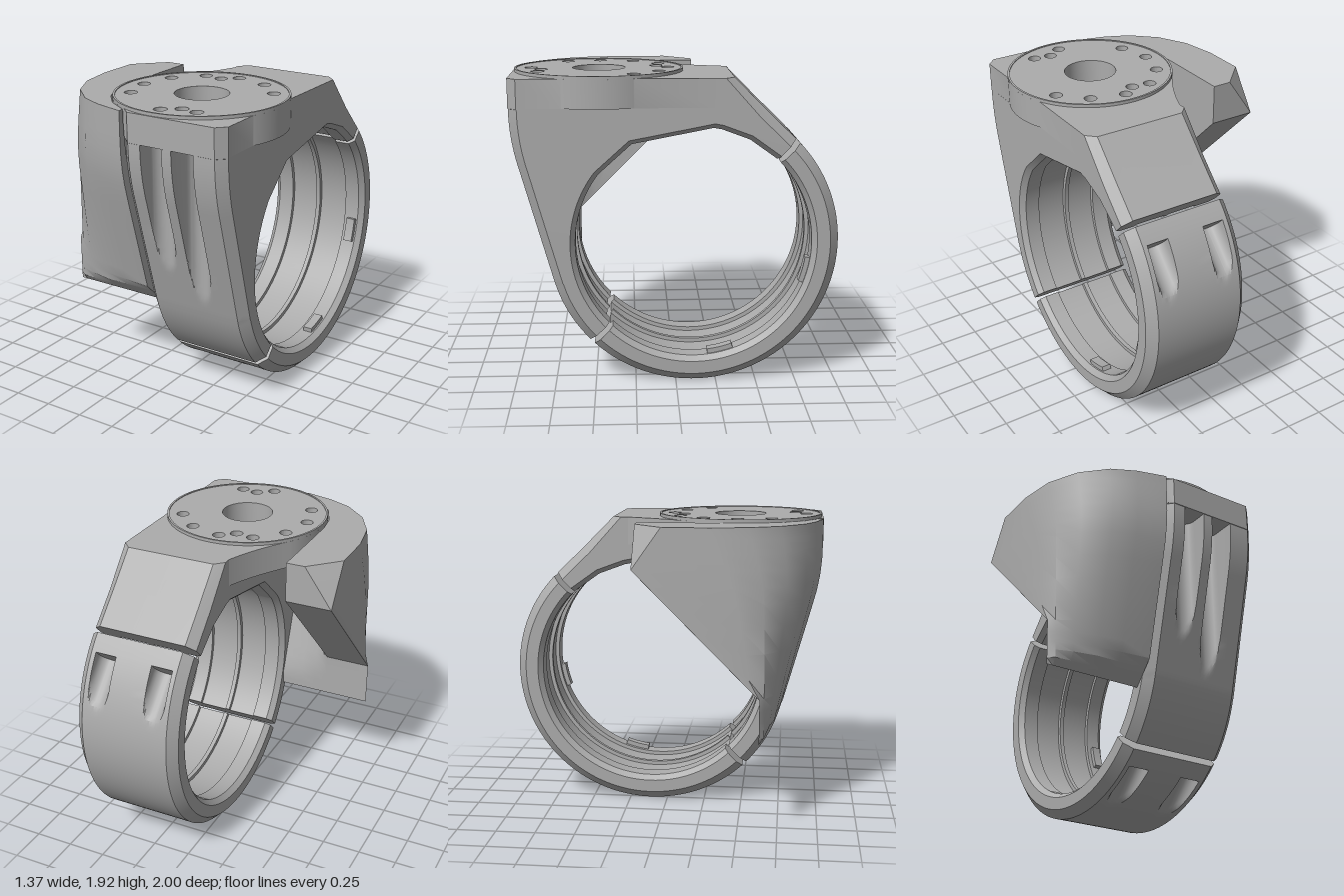
import * as THREE from 'three';
import { toCreasedNormals } from 'three/addons/utils/BufferGeometryUtils.js';

const CZ = -0.11, CY = 0.89, R = 0.89;      // clamp ring centre and outer radius
const X0 = -0.06, X1 = 0.635;               // clamp width
const EPS = 0.0008;
const mix = (a, b, t) => a + (b - a) * t;
const rad = THREE.MathUtils.degToRad;

// Skin a row of sections; each has matching outer and inner point lists
function loft(sections) {
  const pos = [];
  const quad = (a, b, c, d) => { for (const p of [a, b, c, a, c, d]) pos.push(...p); };
  const loops = sections.map(s => [...s.outer, ...s.inner.slice().reverse()]);
  for (let k = 0; k < loops.length - 1; k++) {
    const A = loops[k], B = loops[k + 1], n = A.length;
    for (let i = 0; i < n; i++) { const j = (i + 1) % n; quad(A[i], B[i], B[j], A[j]); }
  }
  const s = sections[0], e = sections[sections.length - 1];
  for (let i = 0; i < s.outer.length - 1; i++) {
    quad(s.outer[i], s.outer[i + 1], s.inner[i + 1], s.inner[i]);
    quad(e.outer[i + 1], e.outer[i], e.inner[i], e.inner[i + 1]);
  }
  const g = new THREE.BufferGeometry();
  g.setAttribute('position', new THREE.Float32BufferAttribute(pos, 3));
  g.computeVertexNormals();
  return toCreasedNormals(g, 0.5);
}

// Stepped bore: x position and radius
const bore = [[-0.06, 0.755], [-0.025, 0.725], [0.08, 0.725], [0.081, 0.75], [0.27, 0.75], [0.271, 0.725],
  [0.3, 0.725], [0.301, 0.75], [0.5, 0.75], [0.501, 0.725], [0.6, 0.725], [0.635, 0.755]];
function boreRadius(x) {
  for (let i = 1; i < bore.length; i++) {
    const [a, ra] = bore[i - 1], [b, rb] = bore[i];
    if (x <= b) return mix(ra, rb, (x - a) / (b - a));
  }
  return 0.755;
}

// Sloping front of the body: z at height y
function frontZ(y) {
  if (y < 1.38) return 0.748 + (y - 0.652) * 0.277;
  const t = Math.min(y - 1.38, 0.34);
  return 0.95 + 0.277 * t - 0.277 * t * t / 0.68;
}

// Outline points: z, y, then the direction in which the side chamfer insets
const arcPoint = deg => {
  const c = Math.cos(rad(deg)), s = Math.sin(rad(deg));
  return [CZ + R * c, CY + R * s, c, s];
};
function upperOutline() {
  const pts = [];
  for (let a = -43.8; a < -16; a += 2.3) pts.push(arcPoint(a));
  for (let i = 0; i <= 32; i++) { const y = mix(0.652, 1.7235, i / 32); pts.push([frontZ(y), y, 1, 0]); }
  pts.push([1, 1.725, 1, 0], [1, 1.73, 1, 0], [0.4, 1.73, 0, 0], [-0.25, 1.73, 0, 0],
    [-0.25, 1.905, 0, 0], [-0.35, 1.905, -1, 0], [-0.54, 1.713, -0.7, 0.7], arcPoint(133.8));
  return pts;
}
function lowerOutline() {
  const angles = [144, 144.1, 305.9, 306];
  for (let a = 136.2; a <= 313.9; a += 2.4) angles.push(a);
  angles.push(313.8);
  return angles.sort((a, b) => a - b).map(arcPoint);
}

// Round channels: centre x, radius and depth
const flutes = [{ x: 0.152, r: 0.073, floor: 0.82 }, { x: 0.365, r: 0.073, floor: 0.77 }];
const pockets = [{ x: 0.095, r: 0.07, floor: 0.765 }, { x: 0.48, r: 0.07, floor: 0.765 }];
const channelFloor = (list, x) => {
  const c = list.find(f => Math.abs(x - f.x) < f.r + EPS / 2);
  return c ? c.floor + c.r - Math.sqrt(Math.max(0, c.r * c.r - (x - c.x) ** 2)) : Infinity;
};

function clampHalf(outline, channels, carve) {
  const xs = [...bore.map(b => b[0]), X0 + 0.055, X1 - 0.055];
  for (const c of channels) {
    xs.push(c.x - c.r - EPS, c.x + c.r + EPS);
    for (let i = 0; i <= 10; i++) xs.push(c.x - c.r * Math.cos(Math.PI * i / 10));
  }
  xs.sort((a, b) => a - b);
  return loft(xs.map(x => {
    const inset = Math.max(0, 0.055 - Math.min(x - X0, X1 - x));
    const floor = channelFloor(channels, x), r = boreRadius(x);
    const outer = [], inner = [];
    for (const [z, y, nz, ny] of outline) {
      const [oz, oy] = carve(z - nz * inset, y - ny * inset, floor);
      outer.push([x, oy, oz]);
      const a = Math.atan2(y - CY, z - CZ);
      inner.push([x, CY + r * Math.sin(a), CZ + r * Math.cos(a)]);
    }
    return { outer, inner };
  }));
}
const carveFlute = (z, y, floor) => [y < 1.7245 && z > 0.7 ? Math.min(z, floor) : z, y];
// Screw pockets run square to the split plane
function carvePocket(z, y, floor) {
  const h = Math.SQRT1_2, u = ((z - CZ) - (y - CY)) * h, v = -((z - CZ) + (y - CY)) * h;
  if (v < 0.1397 || Math.abs(u) <= floor) return [z, y];
  const w = Math.sign(u) * floor;
  return [CZ + (w - v) * h, CY + (-w - v) * h];
}

// Curved side guard, hollow towards the turntable and cut off at a slant
function guardGeometry() {
  const ox = [-0.06, -0.25, -0.4, -0.55, -0.65, -0.69];
  const topOffset = [0, -0.05, -0.12, -0.26, -0.45, -0.68];
  const lowOffset = [0, -0.015, -0.03, -0.05, -0.07, -0.1];
  const ix = [-0.06, -0.2, -0.3, -0.37, -0.389, -0.39];
  const ys = [0.59, 0.63, 0.68, 0.73, 0.8, 0.875, 1, 1.15, 1.3, 1.45, 1.55, 1.65, 1.75, 1.83, 1.905];
  return loft(ys.map(y => {
    const t = (1.905 - y) / 1.315;
    const zb = y > 1.65 ? -0.145 : Math.min(0.63, 1.505 - y);
    const c = Math.max(0.001, 0.18 * (y - 1.65) / 0.255);
    const outer = [], inner = [];
    ox.forEach((x, i) => {
      let z = frontZ(y) + mix(topOffset[i], lowOffset[i], t);
      z = Math.max(zb, Math.min(z, y + 0.04));
      outer.push([x, y, z]);
      const arc = 0.465 + Math.sqrt(Math.max(0, 0.2916 - (ix[i] - 0.153) ** 2));
      inner.push([ix[i], y, Math.max(zb, Math.min(arc, z - 0.03 - 0.1 * t))]);
    });
    outer.push([-0.69, y, Math.min(zb + c, outer[5][2])], [-0.69 + c, y, zb]);
    inner.push([-0.39, y, Math.min(zb + c, inner[5][2])], [-0.39, y, zb]);
    return { outer, inner };
  }));
}

// Turntable centre and bolt holes, as x and z
const TX = 0.153, TZ = 0.465;
const bolts = [[-0.06, 0.09], [0.06, 0.105], [0.15, 0.035], [0.365, 0.095], [0.52, 0.25], [-0.215, 0.25],
  [-0.27, 0.465], [-0.215, 0.675], [0.25, 0.82], [0.36, 0.835], [0.15, 0.89]];
const circle = (x, z, r, Type = THREE.Path) => new Type().absarc(x, -z, r, 0, Math.PI * 2, false);
function addHoles(shape) {
  shape.holes.push(circle(TX, TZ, 0.165), ...bolts.map(([x, z]) => circle(x, z, 0.04)));
  return shape;
}
function plate(shape, y0, y1) {
  const g = new THREE.ExtrudeGeometry(shape, { depth: y1 - y0, bevelEnabled: false, curveSegments: 40 });
  g.rotateX(-Math.PI / 2).translate(0, y0, 0);
  return toCreasedNormals(g, 0.5);
}
function headShape() {
  const s = new THREE.Shape();
  s.moveTo(X1, 0.25);
  s.lineTo(X1, -0.247);
  s.absarc(TX, -TZ, 0.528, 0.425, -0.425, true);
  s.lineTo(X1, -0.945); s.lineTo(0.58, -1); s.lineTo(-0.005, -1);
  s.absarc(TX, -TZ, 0.528, -1.986, -3.75, true);
  s.quadraticCurveTo(-0.13, 0.05, X0, 0.25);
  return addHoles(s);
}

export function createModel() {
  const metal = new THREE.MeshStandardMaterial({ color: 0xacacac });
  metal.name = 'grey metal';
  const group = new THREE.Group();
  group.name = 'clampBracket';
  const add = (name, geometry) => {
    const m = new THREE.Mesh(geometry, metal);
    m.name = name;
    group.add(m);
  };

  // Split clamp
  add('clampBody', clampHalf(upperOutline(), flutes, carveFlute));
  add('clampCap', clampHalf(lowerOutline(), pockets, carvePocket));

  // Head block and turntable face with a raised lip
  add('headBlock', plate(headShape(), 1.73, 1.905));
  add('turntableFace', plate(addHoles(circle(TX, TZ, 0.516, THREE.Shape)), 1.905, 1.92));
  const lip = circle(TX, TZ, 0.528, THREE.Shape);
  lip.holes.push(circle(TX, TZ, 0.515));
  add('turntableLip', plate(lip, 1.905, 1.925));

  add('sideGuard', guardGeometry());

  // Locating pads inside the cap
  for (const [a, b] of [[188, 201], [250, 263]]) {
    const s = new THREE.Shape();
    s.absarc(-CZ, CY, 0.745, rad(180 - b), rad(180 - a), false);
    s.absarc(-CZ, CY, 0.695, rad(180 - a), rad(180 - b), true);
    const g = new THREE.ExtrudeGeometry(s, { depth: 0.06, bevelEnabled: false });
    g.rotateY(Math.PI / 2).translate(0.53, 0, 0);
    add('locatingPad', toCreasedNormals(g, 0.5));
  }
  return group;
}
